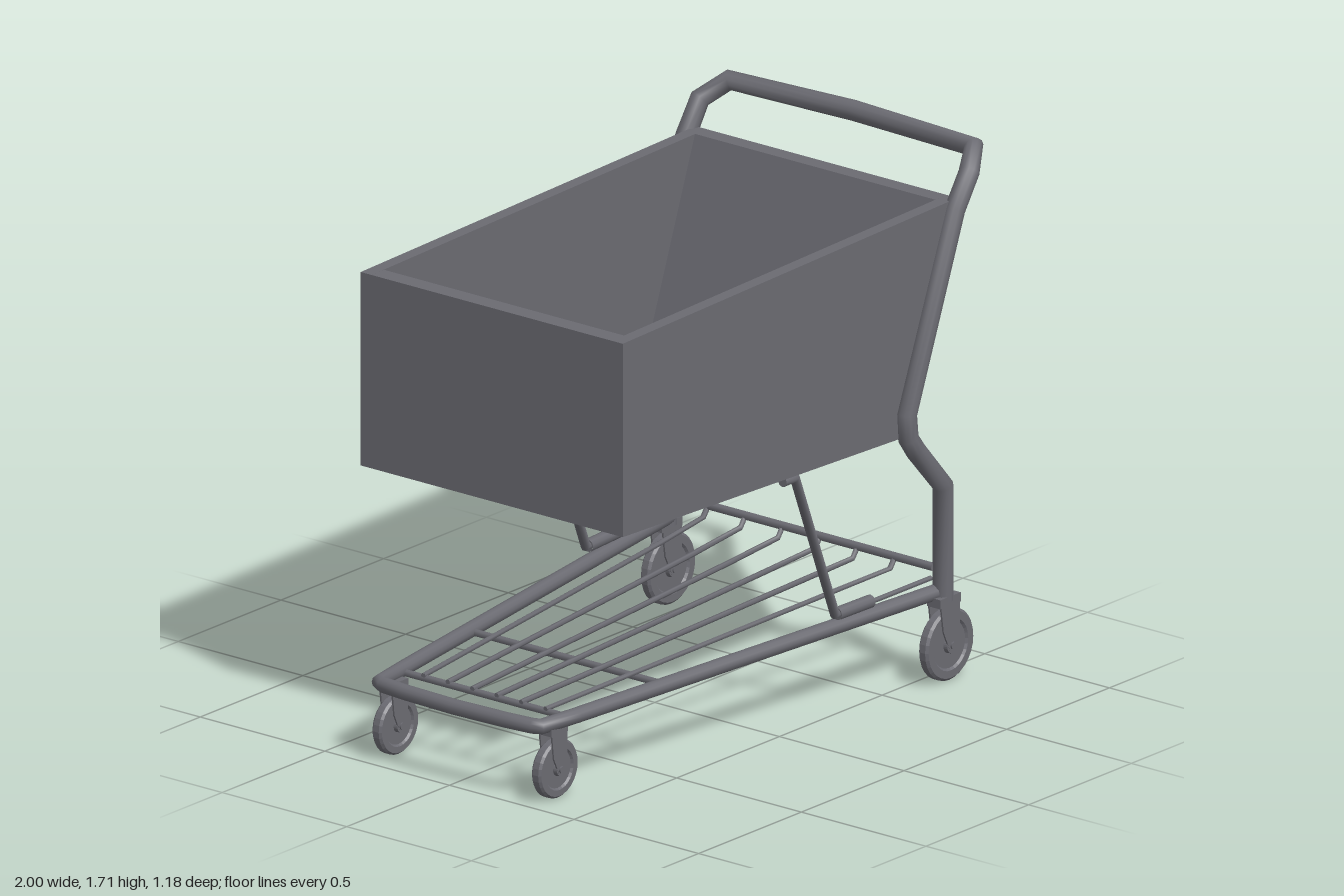
import * as THREE from 'three';

const metal = new THREE.MeshStandardMaterial({ color: 0x6a6a71 });
metal.name = 'dark grey metal';

// Polyline whose rings sit exactly on the given points, so bends stay crisp
class BentPath extends THREE.Curve {
  constructor(points) {
    super();
    this.pts = points.map((p) => new THREE.Vector3(...p));
  }
  getPoint(t, target = new THREE.Vector3()) {
    const f = t * (this.pts.length - 1);
    const i = Math.min(Math.floor(f), this.pts.length - 2);
    return target.lerpVectors(this.pts[i], this.pts[i + 1], f - i);
  }
  getPointAt(t, target) { return this.getPoint(t, target); }
  getTangentAt(t, target = new THREE.Vector3()) {
    const n = this.pts.length - 1, i = Math.round(t * n), p = this.pts;
    const sum = new THREE.Vector3();
    if (i > 0) sum.add(p[i].clone().sub(p[i - 1]).normalize());
    if (i < n) sum.add(p[i + 1].clone().sub(p[i]).normalize());
    return target.copy(sum.normalize());
  }
}

function add(parent, name, geometry) {
  const mesh = new THREE.Mesh(geometry, metal);
  mesh.name = name;
  parent.add(mesh);
  return mesh;
}

// Bent round bar with closed ends
function bar(parent, name, points, radius, sides = 12) {
  const group = new THREE.Group();
  group.name = name;
  const path = new BentPath(points);
  add(group, name + 'Tube', new THREE.TubeGeometry(path, points.length - 1, radius, sides, false));
  for (const t of [0, 1]) {
    const cap = add(group, name + 'End', new THREE.CircleGeometry(radius, sides));
    const end = path.getPointAt(t);
    cap.position.copy(end);
    cap.lookAt(end.clone().addScaledVector(path.getTangentAt(t), t ? 1 : -1));
  }
  parent.add(group);
}

// Side profile in x and y, extruded from z0 to z1
function slab(parent, name, profile, z0, z1) {
  const shape = new THREE.Shape(profile.map(([x, y]) => new THREE.Vector2(x, y)));
  const geometry = new THREE.ExtrudeGeometry(shape, { depth: z1 - z0, bevelEnabled: false });
  geometry.translate(0, 0, z0);
  return add(parent, name, geometry);
}

// Left half followed by its mirror image, meeting at z = 0
const mirrored = (half, middle) => [
  ...half, middle, ...half.slice().reverse().map(([x, y, z]) => [x, y, -z]),
];

function caster(parent, name, x, z, r, mountY) {
  const group = new THREE.Group();
  group.name = name;
  group.position.set(x, 0, z);
  const cy = r + 0.006, w = 0.019;
  // tyre with a recessed web and a raised hub
  const half = [[r * 0.22, 0.026], [r * 0.24, 0.012], [r * 0.66, 0.012],
    [r * 0.72, w], [r * 0.93, w], [r, w * 0.6]];
  const profile = [[0, 0.026], ...half, ...half.slice().reverse().map(([a, b]) => [a, -b]), [0, -0.026]]
    .reverse().map(([a, b]) => new THREE.Vector2(a, b));
  const lathe = new THREE.LatheGeometry(profile, 28).toNonIndexed();
  lathe.computeVertexNormals();
  const wheel = add(group, 'wheel', lathe);
  wheel.rotation.x = Math.PI / 2;
  wheel.position.y = cy;
  // fork plates and mounting plate
  const fork = [[-r * 0.5, mountY], [-r * 0.38, cy + r * 0.45], [-r * 0.12, cy - r * 0.12],
    [r * 0.16, cy - r * 0.12], [r * 0.3, cy + r * 0.4], [r * 0.3, mountY]].reverse();
  slab(group, 'forkPlate', fork, 0.021, 0.027);
  slab(group, 'forkPlate', fork, -0.027, -0.021);
  const mount = add(group, 'mount', new THREE.BoxGeometry(r * 0.85, 0.03, 0.054));
  mount.position.set(-r * 0.1, mountY, 0);
  const axle = add(group, 'axle', new THREE.CylinderGeometry(0.012, 0.012, 0.064, 10));
  axle.rotation.x = Math.PI / 2;
  axle.position.y = cy;
  parent.add(group);
}

export function createModel() {
  const cart = new THREE.Group();
  cart.name = 'cart';

  // Open basket with a sloping back
  const basket = new THREE.Group();
  basket.name = 'basket';
  const side = [[-0.8, 0.885], [0.575, 0.84], [0.83, 1.556], [-0.8, 1.52]];
  slab(basket, 'leftWall', side, 0.487, 0.531);
  slab(basket, 'rightWall', side, -0.521, -0.477);
  slab(basket, 'frontWall', [[-0.8, 0.885], [-0.74, 0.883], [-0.74, 1.521], [-0.8, 1.52]], -0.477, 0.487);
  slab(basket, 'backWall', [[0.515, 0.842], [0.575, 0.84], [0.83, 1.556], [0.775, 1.555]], -0.477, 0.487);
  slab(basket, 'floor', [[-0.74, 0.883], [0.515, 0.842], [0.53, 0.875], [-0.74, 0.915]], -0.477, 0.487);
  cart.add(basket);

  // Legs, uprights and handle in one bent tube
  bar(cart, 'handleFrame', mirrored([
    [0.73, 0.27, 0.555], [0.73, 0.645, 0.555], [0.605, 0.79, 0.55], [0.57, 0.84, 0.548],
    [0.565, 0.92, 0.545], [0.805, 1.525, 0.54], [0.875, 1.63, 0.54], [0.957, 1.68, 0.49],
  ], [0.968, 1.687, 0]), 0.033);

  // Lower frame tapering to the front, with a bowed front bar
  bar(cart, 'lowerFrame', mirrored([
    [0.73, 0.298, 0.545], [-0.8, 0.26, 0.347], [-0.945, 0.257, 0.325], [-0.958, 0.257, 0.3],
    [-0.968, 0.257, 0.2],
  ], [-0.976, 0.257, 0]), 0.025);

  // Rack of rods and cross bars
  bar(cart, 'rearCrossBar', [[0.715, 0.375, 0.53], [0.715, 0.375, -0.53]], 0.014, 8);
  for (const x of [-0.82, -0.42]) {
    const z = 0.33 + (x + 0.95) * 0.131, y = 0.25 + (x + 0.95) * 0.03;
    bar(cart, 'rackCrossBar', [[x, y, z], [x, y, -z]], 0.012, 8);
  }
  for (const k of [-2.5, -1.5, -0.5, 0.5, 1.5, 2.5]) {
    bar(cart, 'rackRod', [
      [-0.83, 0.265, k * 0.098], [0.45, 0.328, k * 0.14], [0.69, 0.342, k * 0.15], [0.715, 0.375, k * 0.15],
    ], 0.009, 6);
  }

  for (const s of [1, -1]) {
    // Slanted strut between rack and basket, with a sleeve at its foot
    bar(cart, 'strut', [
      [0.015, 0.838, s * 0.5], [0.075, 0.836, s * 0.5], [0.27, 0.335, s * 0.5], [0.43, 0.336, s * 0.505],
    ], 0.017, 10);
    bar(cart, 'strutSleeve', [[0.28, 0.333, s * 0.5], [0.435, 0.335, s * 0.508]], 0.021, 10);
    bar(cart, 'sideRod', [[0.43, 0.33, s * 0.505], [0.7, 0.343, s * 0.53]], 0.009, 6);

    caster(cart, 'frontCaster', -0.875, s * 0.32, 0.095, 0.235);
    caster(cart, 'rearCaster', 0.742, s * 0.558, 0.117, 0.272);
  }
  return cart;
}
